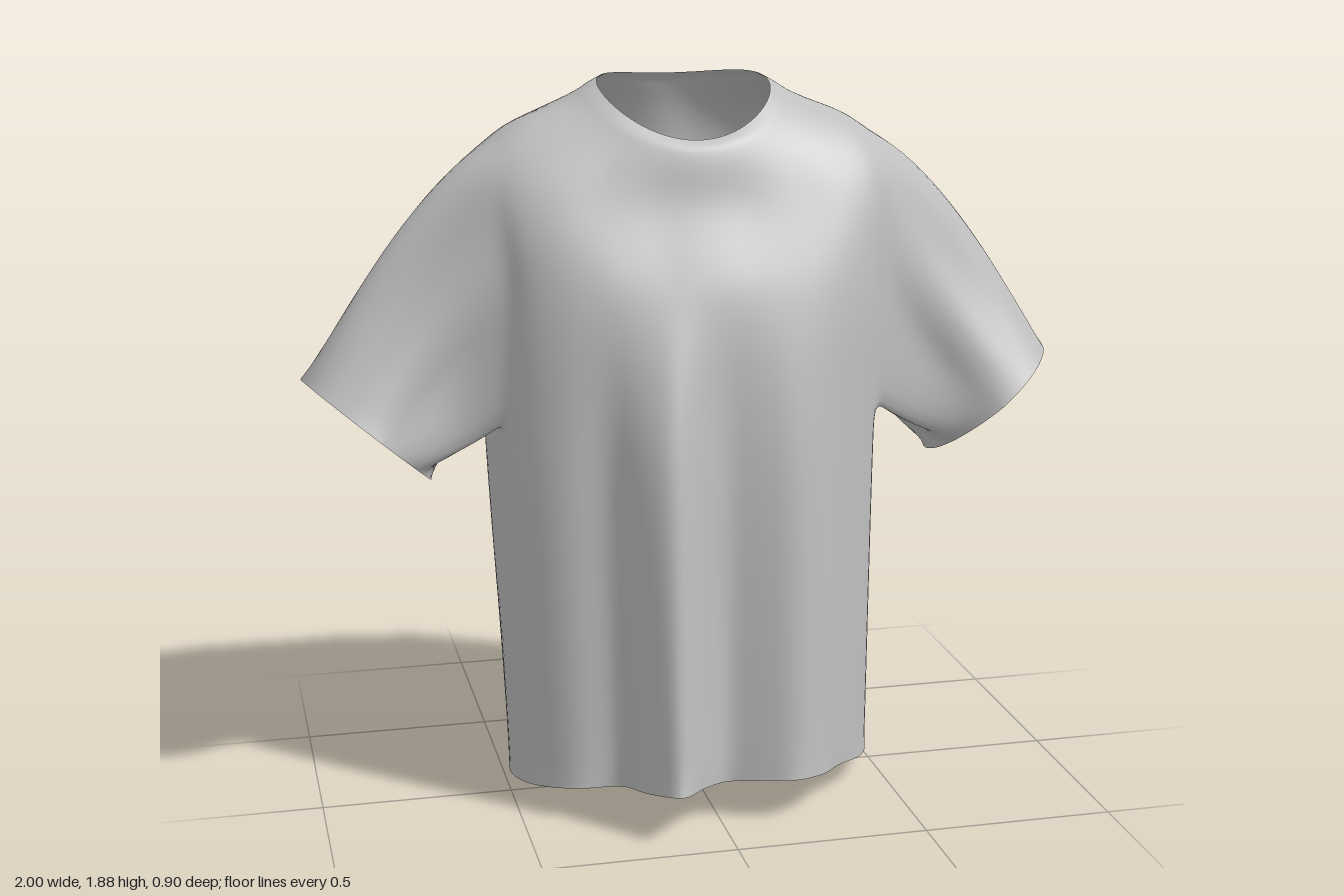
import * as THREE from 'three';

const V = (x, y, z) => new THREE.Vector3(x, y, z);
const K = 27, SUB = 5, COLS = K * SUB;     // control points and columns around the torso
const SEG = [24, 6, 10, 8, 6];             // rows between the key cross-sections
const HOLE_LOW = 24, HOLE_HIGH = 40, HALF = 8, SLEEVE_ROWS = 20;

// Draped hem outline [x, z]: left side, front folds, right side, back folds
const HEM = [
  [0.48, -0.08], [0.475, 0.04], [0.43, 0.15], [0.34, 0.24], [0.27, 0.33], [0.19, 0.37], [0.10, 0.34],
  [0.02, 0.31], [-0.05, 0.36], [-0.13, 0.45], [-0.20, 0.37], [-0.25, 0.25], [-0.36, 0.23], [-0.45, 0.15],
  [-0.49, 0.03], [-0.49, -0.09], [-0.46, -0.19], [-0.40, -0.28], [-0.31, -0.38], [-0.20, -0.445],
  [-0.10, -0.42], [0, -0.375], [0.10, -0.42], [0.20, -0.445], [0.30, -0.37], [0.39, -0.25], [0.45, -0.17]];

// Half outlines: side to front centre, then side to back centre
const HALF_X = [0.5, 0.5, 0.465, 0.37, 0.27, 0.19, 0.11, 0.035, 0.495, 0.44, 0.32, 0.21, 0.1, 0];
const CHEST_Z = [-0.13, 0.02, 0.11, 0.18, 0.213, 0.225, 0.232, 0.235, -0.3, -0.39, -0.4, -0.45, -0.41, -0.365];
const YOKE_Z = [-0.15, -0.03, 0.04, 0.09, 0.112, 0.122, 0.126, 0.13, -0.27, -0.345, -0.365, -0.385, -0.37, -0.345];
const YOKE_Y = [1.725, 1.695, 1.65, 1.615, 1.59, 1.58, 1.575, 1.575, 1.695, 1.69, 1.69, 1.69, 1.69, 1.69];

// Mirrors a half outline into the full closed one
function outline(point) {
  return Array.from({ length: K }, (_, k) => {
    const mirrored = k >= 8 && k <= 20;
    const m = !mirrored ? k : k <= 15 ? 15 - k : 42 - k;
    const p = point(m <= 7 ? m : 34 - m, m);
    if (mirrored) p.x *= -1;
    return p;
  });
}

// Tilted neck ring, higher at the shoulders than in front
function neckRing(rx, rz, drop) {
  return outline((h, m) => {
    const a = (m <= 7 ? m / 7.5 : -(27 - m) / 6) * Math.PI / 2;
    const s = (-0.1 + 0.17 * Math.sin(a) + 0.2) / 0.27;
    return V(rx * Math.cos(a), 1.88 - 0.145 * s * s - drop, -0.1 + rz * Math.sin(a));
  });
}

function torsoColumns() {
  const hem = HEM.map(([x, z]) => V(x, 0.13 * Math.pow(Math.max(0, (z + 0.25) / 0.7), 1.1), z));
  const chest = outline(h => V(HALF_X[h], 1.35, CHEST_Z[h]));
  // Slightly wider on the right, and lifted in the middle of each armpit
  const underarm = hem.map((p, k) => {
    const q = p.clone().lerp(chest[k], p.z < 0 ? 0.88 : 0.5);
    q.y = 1.025;
    if (Math.abs(q.x) > 0.4) q.y += 0.08 * Math.exp(-Math.pow((q.z + 0.13) / 0.09, 2));
    if (q.x < 0) q.x *= 1.04;
    return q;
  });
  const yoke = outline(h => V(HALF_X[h], YOKE_Y[h], YOKE_Z[h]));
  const keys = [hem, underarm, chest, yoke, neckRing(0.285, 0.2, 0.035), neckRing(0.225, 0.17, 0)]
    .map(points => new THREE.CatmullRomCurve3(points, true));
  return Array.from({ length: COLS }, (_, c) =>
    new THREE.CatmullRomCurve3(keys.map(curve => curve.getPoint(c / COLS))));
}

// Relaxes the cloth; open edges stay where they are
function relax(points, index, fixed, passes) {
  const near = points.map(() => new Set());
  for (let i = 0; i < index.length; i += 3)
    for (let j = 0; j < 3; j++) {
      const a = index[i + j], b = index[i + (j + 1) % 3];
      near[a].add(b);
      near[b].add(a);
    }
  for (let n = 0; n < passes; n++) {
    const old = points.map(p => p.clone());
    points.forEach((p, i) => {
      if (fixed.has(i) || !near[i].size) return;
      const mean = V(0, 0, 0);
      near[i].forEach(j => mean.add(old[j]));
      p.lerp(mean.divideScalar(near[i].size), 0.5);
    });
  }
}

export function createModel() {
  const points = [], fixed = new Set();
  const parts = { body: [], collar: [], leftSleeve: [], rightSleeve: [] };
  const quad = (list, a, b, c, d) => list.push(a, c, b, b, c, d);
  const rows = SEG.reduce((a, b) => a + b, 0);
  const id = (r, c) => r * COLS + (c + COLS) % COLS;

  // Torso and collar grid
  const columns = torsoColumns();
  SEG.forEach((count, s) => {
    const last = s === SEG.length - 1;
    for (let j = 0; j < count + (last ? 1 : 0); j++)
      for (const curve of columns) {
        const p = curve.getPoint((s + j / count) / SEG.length);
        if (last) {                        // rounded neck rib
          const puff = 0.005 * Math.sin(Math.PI * j / count);
          p.add(V(p.x, 0, p.z + 0.1).normalize().multiplyScalar(puff));
        }
        points.push(p);
      }
  });
  for (let c = 0; c < COLS; c++) {
    fixed.add(id(0, c)).add(id(rows, c));
    const armhole = [0, 15 * SUB].some(mid => (c - mid + HALF + COLS) % COLS < 2 * HALF);
    for (let r = 0; r < rows; r++) {
      if (armhole && r >= HOLE_LOW && r < HOLE_HIGH) continue;
      quad(r >= rows - SEG[4] ? parts.collar : parts.body, id(r, c), id(r, c + 1), id(r + 1, c), id(r + 1, c + 1));
    }
  }

  // Sleeves, lofted from each armhole edge to a tilted oval cuff
  for (const side of [1, -1]) {
    const mid = side > 0 ? 0 : 15 * SUB, c0 = mid - HALF, c1 = mid + HALF;
    let ring = [];
    for (let c = c0; c < c1; c++) ring.push(id(HOLE_LOW, c));
    for (let r = HOLE_LOW; r < HOLE_HIGH; r++) ring.push(id(r, c1));
    for (let c = c1; c > c0; c--) ring.push(id(HOLE_HIGH, c));
    for (let r = HOLE_HIGH; r > HOLE_LOW; r--) ring.push(id(r, c0));
    const start = ring.map(i => points[i].clone());
    const angles = start.map(p => Math.atan2((p.y - 1.38) / 0.33, (p.z + 0.14) / 0.21));
    const n = ring.length;
    for (let k = 1; k <= SLEEVE_ROWS; k++) {
      const t = k / SLEEVE_ROWS, swell = Math.sin(Math.PI * t);
      const cap = Math.sin(Math.PI * Math.pow(t, 0.65));   // fullness near the shoulder
      const next = start.map((p, i) => {
        const cos = Math.cos(angles[i]), sin = Math.sin(angles[i]);
        const rise = sin < 0 ? -Math.pow(-sin, 1.4) : sin;  // cuff is narrower underneath
        const cuff = V(side * (0.84 + 0.16 * rise - 0.015 * cos), 0.99 + 0.14 * rise + 0.02 * cos, -0.105 + 0.215 * cos);
        const fold = 0.016 * swell * Math.sin(6 * angles[i]);
        const q = p.clone().lerp(cuff, t);
        q.x += side * sin * (fold + 0.02 * cap * Math.max(0, sin));
        q.y += sin * (fold + 0.038 * cap * Math.max(0, sin));
        q.z += cos * (fold - 0.05 * swell);
        points.push(q);
        if (k === SLEEVE_ROWS) fixed.add(points.length - 1);
        return points.length - 1;
      });
      const list = side > 0 ? parts.leftSleeve : parts.rightSleeve;
      for (let i = 0; i < n; i++) quad(list, ring[i], ring[(i + 1) % n], next[i], next[(i + 1) % n]);
      ring = next;
    }
  }

  // Shared smooth normals keep the seams invisible
  const all = Object.values(parts).flat();
  relax(points, all, fixed, 4);
  const cloth = new THREE.BufferGeometry().setFromPoints(points);
  cloth.setIndex(all);
  cloth.computeVertexNormals();

  const fabric = new THREE.MeshStandardMaterial({ color: 0xbfbfbf, side: THREE.DoubleSide });
  fabric.name = 'grey fabric';
  const group = new THREE.Group();
  group.name = 'shirt';
  for (const [name, index] of Object.entries(parts)) {
    const geometry = new THREE.BufferGeometry();
    geometry.setAttribute('position', cloth.getAttribute('position'));
    geometry.setAttribute('normal', cloth.getAttribute('normal'));
    geometry.setIndex(index);
    const mesh = new THREE.Mesh(geometry, fabric);
    mesh.name = name;
    group.add(mesh);
  }
  return group;
}
